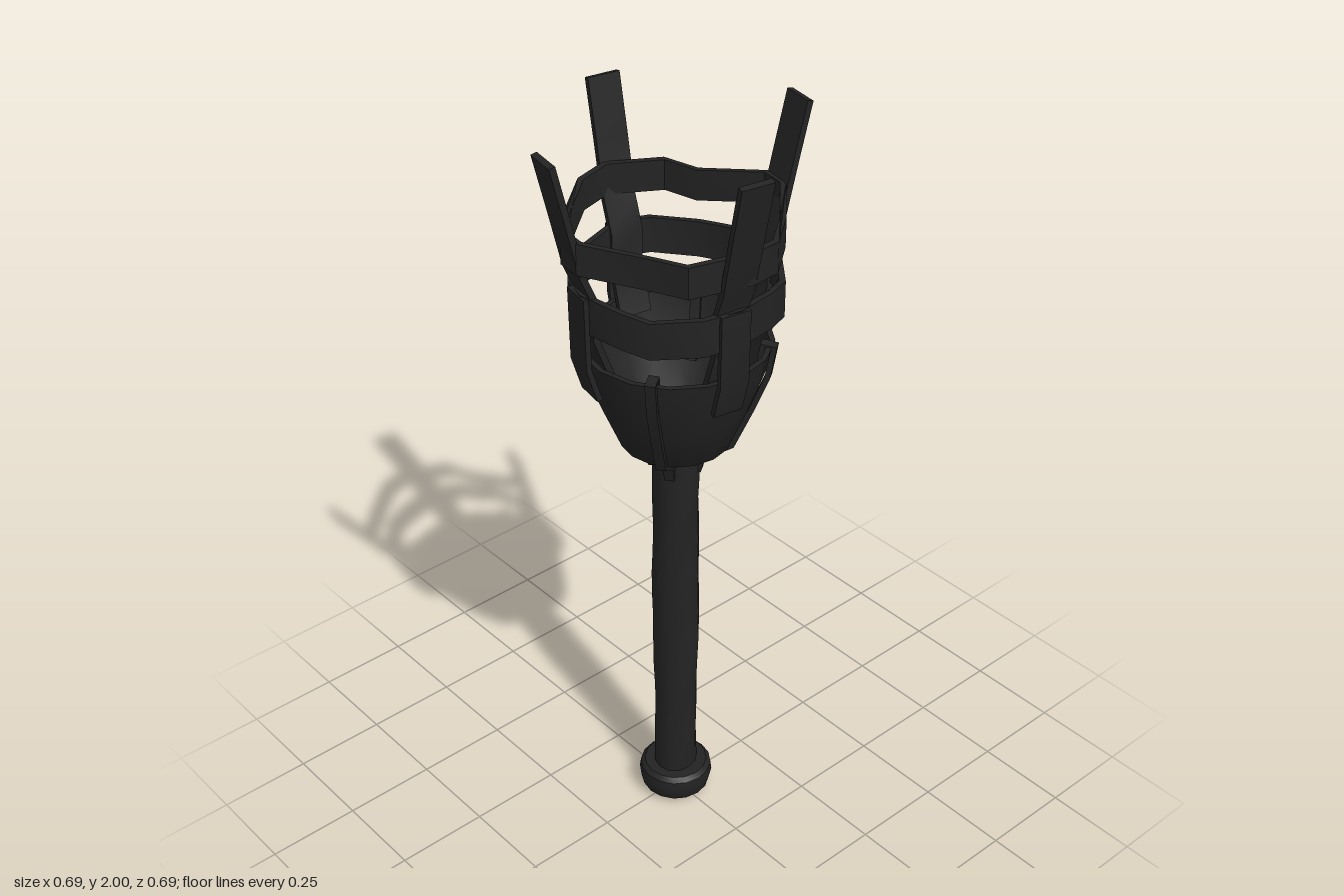
import * as THREE from 'three';
import { toCreasedNormals } from 'three/addons/utils/BufferGeometryUtils.js';

const iron = new THREE.MeshStandardMaterial({ color: 0x232323 });
iron.name = 'dark iron';
const vec = (p) => new THREE.Vector2(p[0], p[1]);

function part(name, geometry, parent) {
  const mesh = new THREE.Mesh(toCreasedNormals(geometry, 0.6), iron);
  mesh.name = name;
  parent.add(mesh);
  return mesh;
}

// Flat bar following a [radius, height] path, with even thickness
function bar(path, width, thickness) {
  const pts = path.map(vec);
  const side = (s) => pts.map((p, i) => {
    const a = pts[Math.max(i - 1, 0)], b = pts[Math.min(i + 1, pts.length - 1)];
    const t = b.clone().sub(a).normalize();
    return new THREE.Vector2(p.x - t.y * s, p.y + t.x * s);
  });
  const outline = [...side(-thickness / 2), ...side(thickness / 2).reverse()];
  const g = new THREE.ExtrudeGeometry(new THREE.Shape(outline), { depth: width, bevelEnabled: false });
  return g.translate(0, 0, -width / 2);
}

// Irregular hoop: half of its corners as [x, z], repeated on the opposite side
function hoop(half, y0, y1, wave) {
  const pts = [...half, ...half.map(([x, z]) => [-x, -z])];
  const shape = new THREE.Shape(pts.map(vec));
  shape.holes.push(new THREE.Path(pts.map(([x, z]) => new THREE.Vector2(x * 0.94, z * 0.94))));
  const g = new THREE.ExtrudeGeometry(shape, { depth: y1 - y0, bevelEnabled: false });
  g.rotateX(Math.PI / 2).translate(0, y1, 0);
  const p = g.attributes.position;
  for (let i = 0; i < p.count; i++) {
    const a = Math.atan2(p.getZ(i), p.getX(i));
    p.setY(i, p.getY(i) + wave * Math.sin(4 * a + 1));
  }
  g.computeVertexNormals();
  return g;
}

export function createModel() {
  const group = new THREE.Group();
  group.name = 'torch';

  // Slightly uneven shaft
  const shaft = new THREE.CylinderGeometry(0.062, 0.058, 1.07, 12, 14, true);
  const p = shaft.attributes.position;
  for (let i = 0; i < p.count; i++) {
    const y = p.getY(i), a = Math.atan2(p.getZ(i), p.getX(i));
    const k = 1 + 0.035 * Math.sin(9 * y + 2 * a) + 0.025 * Math.sin(23 * y + 3 * a);
    p.setX(i, p.getX(i) * k);
    p.setZ(i, p.getZ(i) * k);
  }
  shaft.translate(0, 0.6, 0);
  shaft.computeVertexNormals();
  part('shaft', shaft, group);

  // Rounded foot knob
  const knob = [[0, 0], [0.075, 0.003], [0.092, 0.02], [0.1, 0.055], [0.097, 0.08], [0.085, 0.092], [0, 0.094]];
  part('pommel', new THREE.LatheGeometry(knob.map(vec), 16), group);

  // Open bowl with wall thickness
  const bowl = [[0, 1.11], [0.065, 1.12], [0.14, 1.17], [0.185, 1.28], [0.222, 1.38], [0.238, 1.455],
    [0.224, 1.455], [0.208, 1.38], [0.17, 1.28], [0.125, 1.19], [0.06, 1.155], [0, 1.15]];
  part('bowl', new THREE.LatheGeometry(bowl.map(vec), 16), group);

  // Hoops around the straps
  part('upperHoop', hoop([[0.288, 0.01], [0.28, 0.075], [0.175, 0.185], [0.07, 0.27],
    [-0.02, 0.285], [-0.16, 0.225], [-0.19, 0.135]], 1.715, 1.795, 0.008), group);
  part('lowerHoop', hoop([[0.262, 0.03], [0.235, 0.11], [0.155, 0.21], [0.09, 0.235],
    [-0.03, 0.262], [-0.12, 0.235], [-0.21, 0.15], [-0.235, 0.08]], 1.55, 1.645, 0.008), group);

  const strapPath = [[0.195, 1.42], [0.238, 1.54], [0.235, 1.63], [0.268, 1.71], [0.302, 1.86], [0.335, 2]];
  const footPath = [[0.23, 1.37], [0.257, 1.46], [0.26, 1.65]];
  const ribPath = [[0.06, 1.08], [0.072, 1.125], [0.144, 1.17], [0.19, 1.28], [0.228, 1.38],
    [0.242, 1.465], [0.215, 1.468], [0.205, 1.4], [0.165, 1.29]];
  for (let i = 0; i < 4; i++) {
    const turn = i * Math.PI / 2;
    // Flared upright straps and the plates fixing them to the bowl
    part('strap', bar(strapPath, 0.085, 0.016), group).rotation.y = -turn - 0.18;
    part('strapFoot', bar(footPath, 0.078, 0.014), group).rotation.y = -turn - 0.18;
    // Ribs hooked over the rim
    part('rib', bar(ribPath, 0.026, 0.014), group).rotation.y = -turn - 0.96;
  }
  return group;
}
